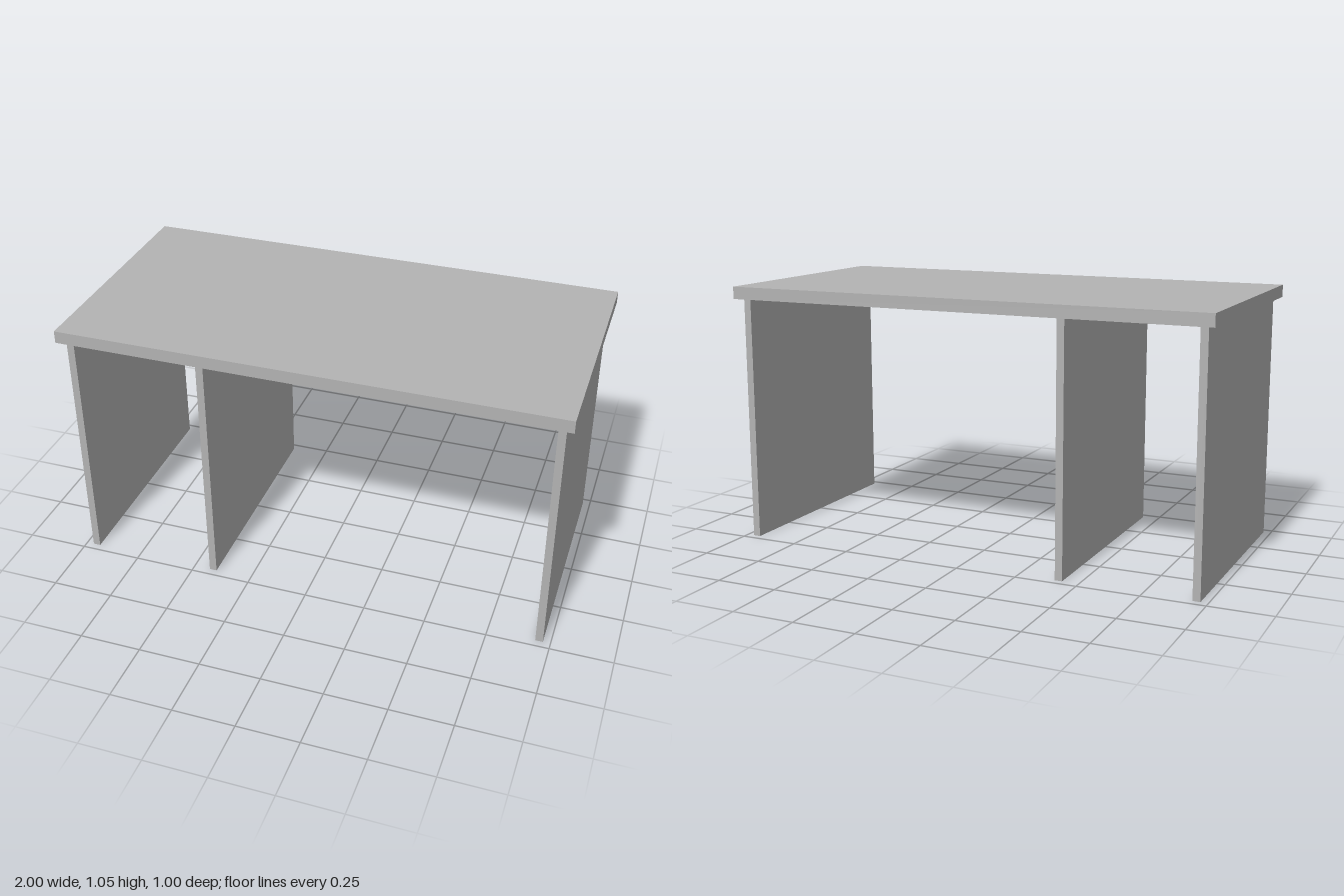
import * as THREE from 'three';

export function createModel() {
  const model = new THREE.Group();
  model.name = 'desk';
  const grey = new THREE.MeshStandardMaterial({ color: 0xb3b3b3 });
  grey.name = 'grey';

  const addBoard = (name, width, height, depth, x, y) => {
    const board = new THREE.Mesh(new THREE.BoxGeometry(width, height, depth), grey);
    board.name = name;
    board.position.set(x, y, 0);
    model.add(board);
  };

  // Top slab, overhanging the panels on every side
  addBoard('desktop', 2, 0.05, 1, 0, 1.025);

  // Upright panels: two ends and one off-centre divider
  const panels = { rightPanel: -0.955, dividerPanel: -0.417, leftPanel: 0.955 };
  for (const [name, x] of Object.entries(panels)) {
    addBoard(name, 0.03, 1, 0.94, x, 0.5);
  }

  return model;
}
